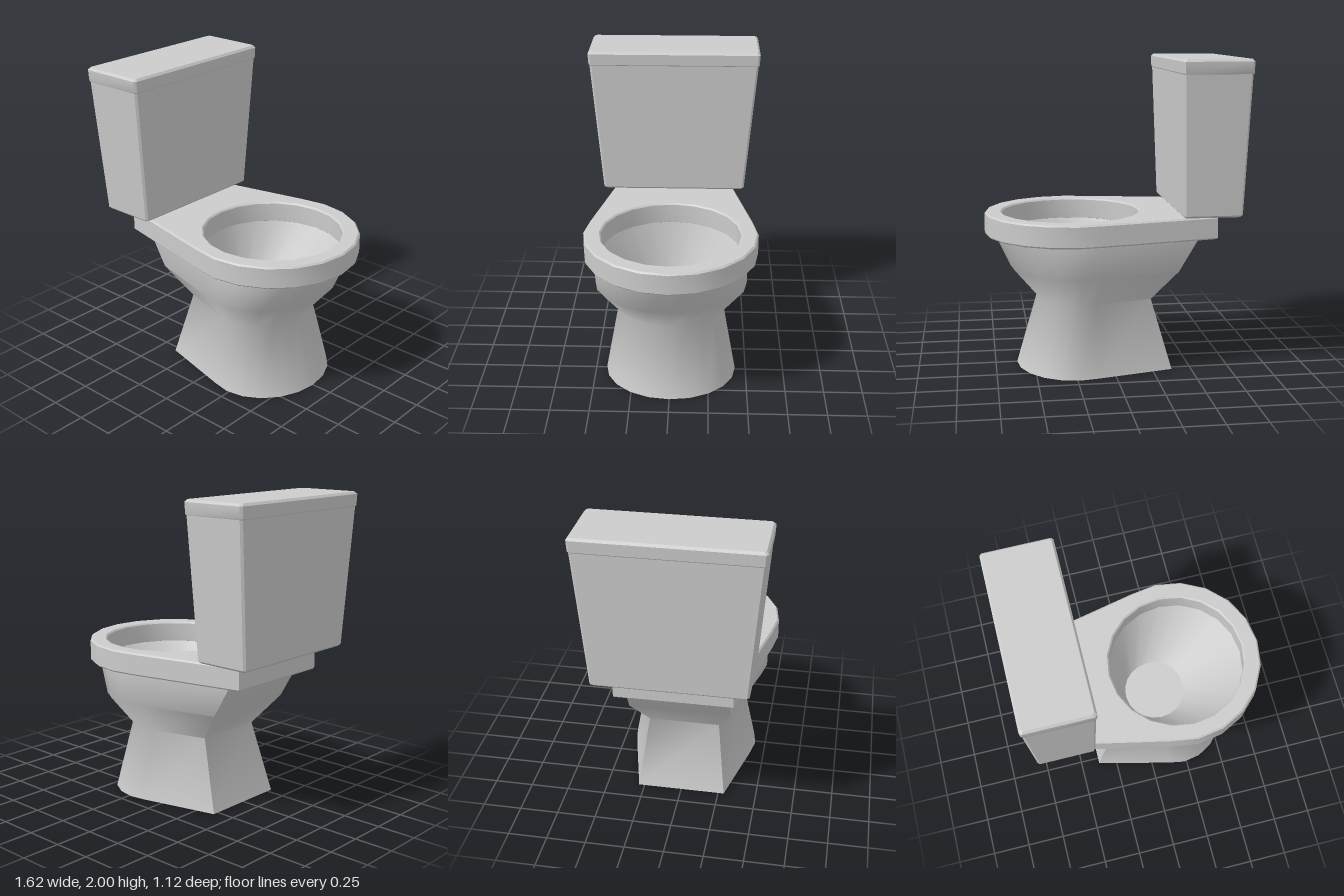
import * as THREE from 'three';
import { toCreasedNormals } from 'three/addons/utils/BufferGeometryUtils.js';

const material = new THREE.MeshStandardMaterial({ color: 0xcccccc });

function part(name, geometry) {
  const mesh = new THREE.Mesh(geometry, material);
  mesh.name = name;
  return mesh;
}

// Skin a stack of rings; each ring is { y, pts: [[x, z], ...] }, anticlockwise from above.
function loft(rings, { capStart = true, capEnd = true, crease = 0.5 } = {}) {
  const n = rings[0].pts.length;
  const pos = rings.flatMap(r => r.pts.flatMap(([x, z]) => [x, r.y, z]));
  const index = [];
  for (let k = 0; k < rings.length - 1; k++) {
    for (let i = 0; i < n; i++) {
      const a = k * n + i, b = k * n + (i + 1) % n;
      index.push(a, b, b + n, a, b + n, a + n);
    }
  }
  const last = (rings.length - 1) * n;
  for (let i = 1; i < n - 1; i++) {
    if (capStart) index.push(0, i + 1, i);
    if (capEnd) index.push(last, last + i, last + i + 1);
  }
  const g = new THREE.BufferGeometry();
  g.setAttribute('position', new THREE.Float32BufferAttribute(pos, 3));
  g.setIndex(index);
  return toCreasedNormals(g, crease);
}

function circle(cx, r, sides = 20) {
  return Array.from({ length: sides }, (_, i) => {
    const a = i / sides * Math.PI * 2;
    return [cx + r * Math.cos(a), -r * Math.sin(a)];
  });
}

// Seat plan: round at the front, tapering to a straight back edge
const BACK = -0.645, FRONT = 0.805, HALF = 0.555;
function outline() {
  const pts = [];
  for (let i = -6; i <= 6; i++) {
    const a = i * Math.PI / 10;
    pts.push([0.25 + HALF * Math.cos(a), -HALF * Math.sin(a)]);
  }
  return [[BACK, 0.372], ...pts, [BACK, -0.372]];
}

// Same plan fitted between two x limits and a half width
function fitted(y, x0, x1, half) {
  return {
    y,
    pts: outline().map(([x, z]) => [
      x0 + (x - BACK) / (FRONT - BACK) * (x1 - x0), z * half / HALF])
  };
}

// Rectangle with cut corners
function rect(y, x0, x1, half, c = 0.013) {
  return {
    y,
    pts: [
      [x1, half - c], [x1, -half + c], [x1 - c, -half], [x0 + c, -half],
      [x0, -half + c], [x0, half - c], [x0 + c, half], [x1 - c, half]]
  };
}

export function createModel() {
  const group = new THREE.Group();
  group.name = 'toilet';

  // Waisted pedestal
  group.add(part('pedestal', loft([
    fitted(0, -0.375, 0.61, 0.43),
    fitted(0.46, -0.245, 0.475, 0.345),
    fitted(0.66, -0.41, 0.645, 0.49),
    fitted(0.88, -0.54, 0.745, 0.49)
  ], { capEnd: false, crease: 1.1 })));

  // Rim slab with a round opening
  const bevel = 0.01;
  const toVec = ([x, z]) => new THREE.Vector2(x, -z);
  const shape = new THREE.Shape(outline().map(toVec));
  shape.holes.push(new THREE.Path(circle(0.25, 0.445).reverse().map(toVec)));
  const slab = new THREE.ExtrudeGeometry(shape, {
    depth: 0.145 - 2 * bevel, bevelThickness: bevel, bevelSize: bevel,
    bevelOffset: -bevel, bevelSegments: 1
  });
  slab.rotateX(-Math.PI / 2).translate(0, 0.87 + bevel, 0);
  group.add(part('rim', toCreasedNormals(slab, 0.5)));

  // Bowl interior, rings run downwards so its faces look inwards
  group.add(part('bowl', loft([
    { y: 0.88, pts: circle(0.25, 0.447) },
    { y: 0.5, pts: circle(0.11, 0.205) }
  ], { capStart: false })));

  // Tapered tank
  group.add(part('tank', loft([
    rect(1.027, -0.765, -0.418, 0.467),
    rect(1.04, -0.778, -0.405, 0.48),
    rect(1.915, -0.804, -0.38, 0.552)
  ])));

  // Tank lid
  group.add(part('tankLid', loft([
    rect(1.91, -0.806, -0.378, 0.554),
    rect(1.915, -0.809, -0.375, 0.557),
    rect(1.985, -0.811, -0.373, 0.561),
    rect(2, -0.798, -0.386, 0.548)
  ])));

  return group;
}
